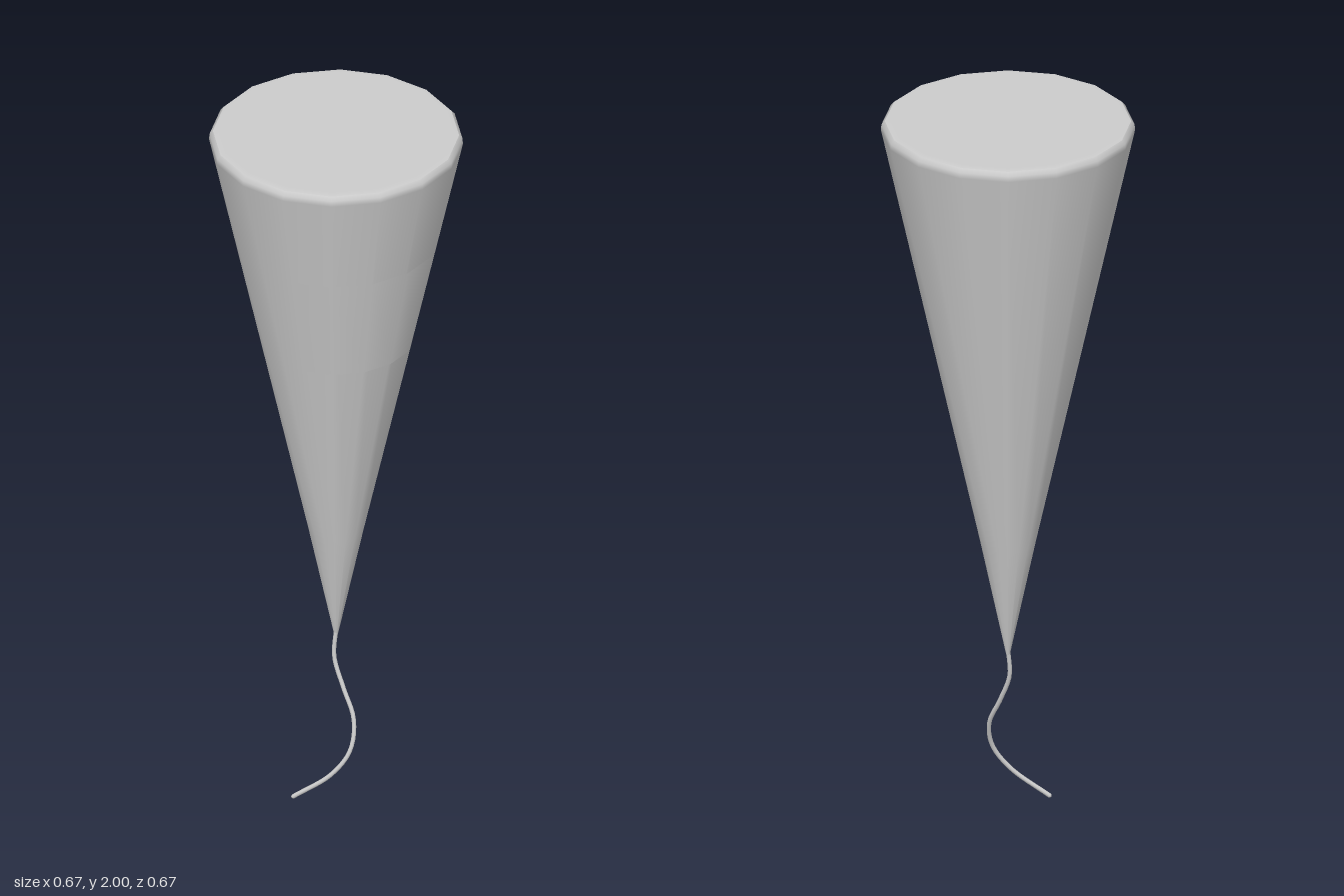
import * as THREE from 'three';

const SIDES = 16;
const grey = new THREE.MeshStandardMaterial({ color: 0xcccccc });
const sheet = new THREE.MeshStandardMaterial({ color: 0xcccccc, side: THREE.DoubleSide });

const profile = (pairs) => pairs.map(([r, y]) => new THREE.Vector2(r, y));

function part(name, geometry, material) {
  const mesh = new THREE.Mesh(geometry, material);
  mesh.name = name;
  return mesh;
}

export function createModel() {
  const group = new THREE.Group();
  group.name = 'partyPopper';

  // Tapered body with a small bevelled rim
  const wall = profile([[0, 0.45], [0.005, 0.455], [0.073, 0.78], [0.335, 1.972], [0.334, 1.988], [0.325, 1.998]]);
  group.add(part('coneBody', new THREE.LatheGeometry(wall, SIDES), grey));

  // Flat lid closing the wide end
  const lid = profile([[0.325, 1.998], [0.31, 2], [0, 2]]);
  group.add(part('lid', new THREE.LatheGeometry(lid, SIDES), grey));

  // Label: a quarter-turn sheet lying just off the front of the cone
  const label = profile([[0.2075, 1.38], [0.2755, 1.69]].map(([r, y]) => [r + 0.004, y]));
  group.add(part('label', new THREE.LatheGeometry(label, SIDES / 4, -Math.PI / 4, Math.PI / 2), sheet));

  // Pull string curling down from the tip
  const path = new THREE.CatmullRomCurve3([
    [0, 0.47, 0], [-0.007, 0.39, 0.006], [0.007, 0.31, 0.036], [0.022, 0.23, 0.075],
    [0.004, 0.15, 0.096], [-0.045, 0.08, 0.085], [-0.135, 0.006, 0.04],
  ].map((p) => new THREE.Vector3(...p)));
  group.add(part('pullString', new THREE.TubeGeometry(path, 32, 0.006, 8), grey));

  // Rounded end of the string
  const end = part('stringEnd', new THREE.SphereGeometry(0.006, 8, 6), grey);
  end.position.copy(path.getPoint(1));
  group.add(end);

  return group;
}
